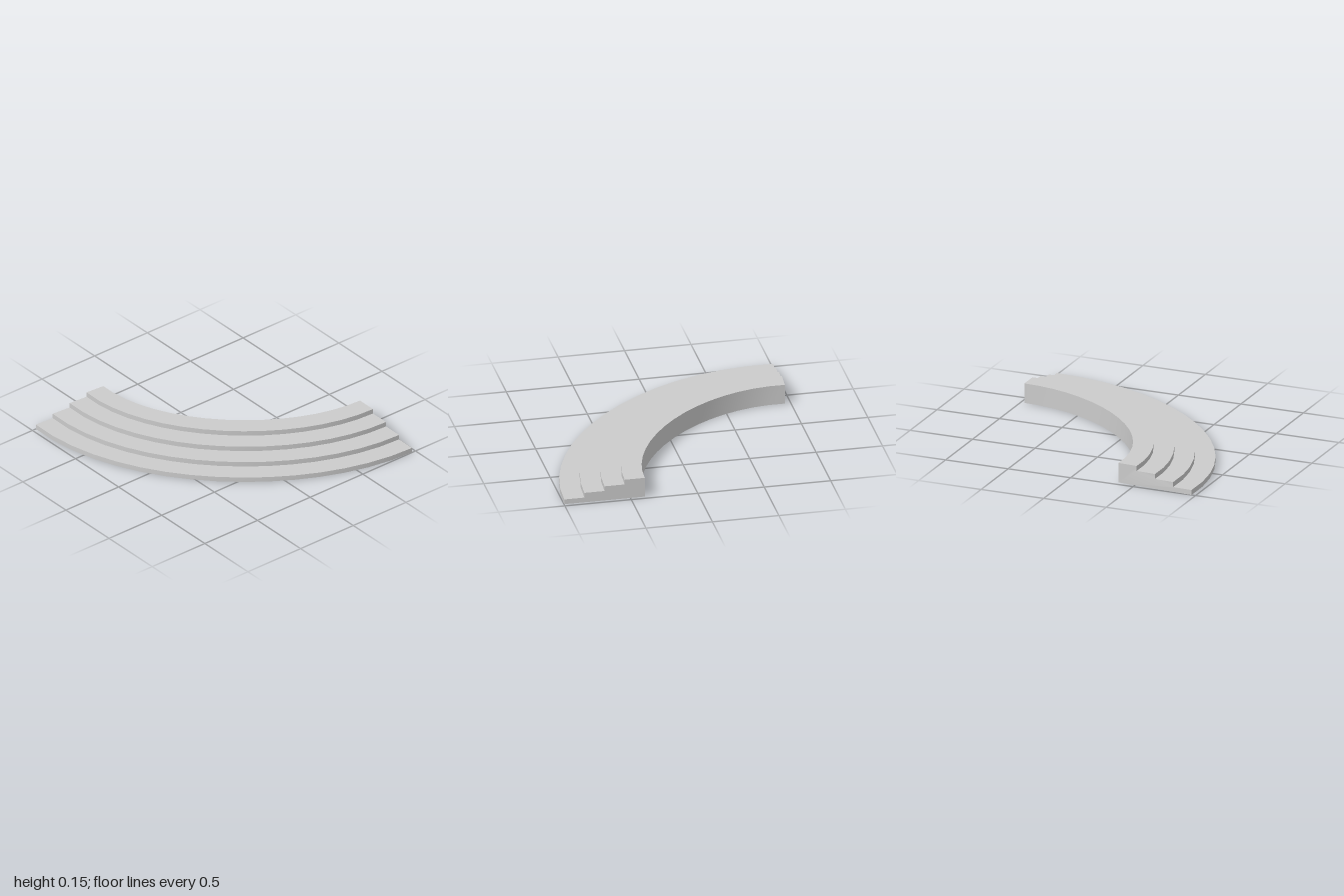
import * as THREE from 'three';
import { toCreasedNormals } from 'three/addons/utils/BufferGeometryUtils.js';

const TIERS = 4, TREAD = 0.1515, RISE = 0.038, SEGMENTS = 16;

// Stepped cross-section: x is the offset outward from the centre line, y is up
function stepProfile() {
  const half = (TIERS * TREAD) / 2;
  const shape = new THREE.Shape();
  shape.moveTo(-half, 0);
  shape.lineTo(half, 0);
  for (let i = 0; i < TIERS; i++) {
    shape.lineTo(half - i * TREAD, (i + 1) * RISE);
    shape.lineTo(half - (i + 1) * TREAD, (i + 1) * RISE);
  }
  shape.closePath();
  return shape;
}

export function createModel() {
  const group = new THREE.Group();
  group.name = 'curvedSteps';

  // Centre line in plan, as (x, z)
  const path = new THREE.CubicBezierCurve(
    new THREE.Vector2(0.695, -0.97),
    new THREE.Vector2(0.695, -0.147),
    new THREE.Vector2(-0.121, 0.729),
    new THREE.Vector2(-0.978, 0.665)
  );

  // Straight flight of steps, then bent along the centre line
  const straight = new THREE.ExtrudeGeometry(stepProfile(), {
    depth: 1, steps: SEGMENTS, bevelEnabled: false
  });
  const pos = straight.attributes.position;
  for (let i = 0; i < pos.count; i++) {
    const t = THREE.MathUtils.clamp(pos.getZ(i), 0, 1);
    const p = path.getPoint(t), d = path.getTangent(t);
    const offset = pos.getX(i);
    pos.setXYZ(i, p.x + d.y * offset, pos.getY(i), p.y - d.x * offset);
  }

  const steps = new THREE.Mesh(
    toCreasedNormals(straight, 0.5),
    new THREE.MeshStandardMaterial({ color: 0xcccccc })
  );
  steps.name = 'steps';
  group.add(steps);
  return group;
}
